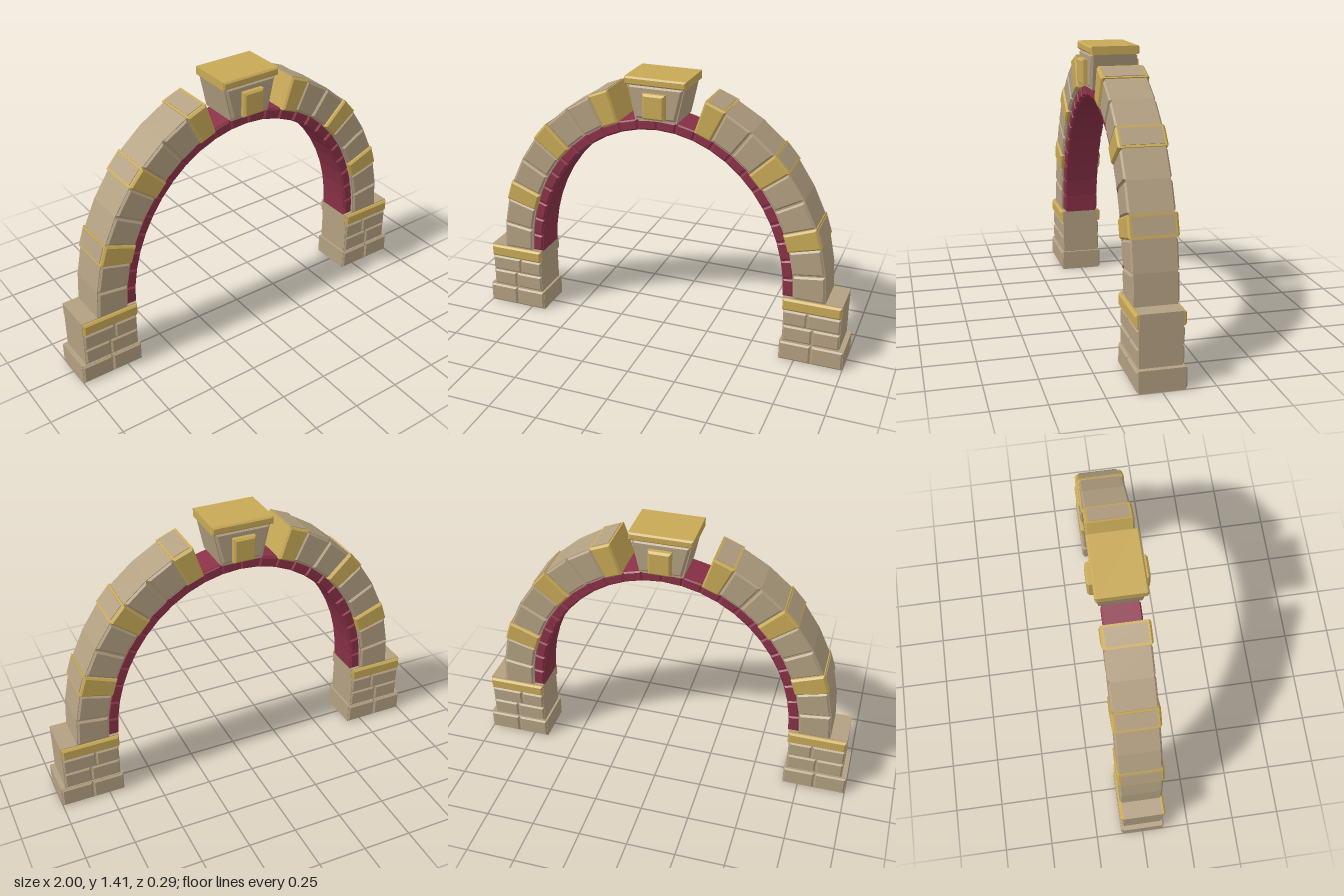
import * as THREE from 'three';

const mat = (name, color) => Object.assign(new THREE.MeshStandardMaterial({ color }), { name });

export function createModel() {
  const stone = mat('sandstone', 0xb3a082);
  const gold = mat('gold trim', 0xc8a957);
  const brick = mat('red brick', 0x8a3147);
  const model = new THREE.Group();
  model.name = 'stoneArch';

  // Block through the full depth, its front and back edges chamfered by c
  function block(parent, name, material, pts, halfDepth, c = 0) {
    const shape = new THREE.Shape(pts.map(p => new THREE.Vector2(p[0], p[1])));
    const geo = new THREE.ExtrudeGeometry(shape, {
      depth: 2 * (halfDepth - c), bevelEnabled: c > 0, bevelThickness: c,
      bevelSize: c, bevelOffset: -c, bevelSegments: 1, steps: 1,
    });
    geo.translate(0, 0, -(halfDepth - c));
    const mesh = new THREE.Mesh(geo, material);
    mesh.name = name;
    parent.add(mesh);
    return mesh;
  }
  const rect = (x0, x1, y0, y1) => [[x0, y0], [x1, y0], [x1, y1], [x0, y1]];
  function group(name) {
    const g = new THREE.Group();
    g.name = name;
    model.add(g);
    return g;
  }

  // Elliptical inner curve, pushed outward along its normal by d
  const A = 0.67, B = 0.785, SPRING = 0.355;
  function arc(t, d) {
    const nx = Math.cos(t) / A, ny = Math.sin(t) / B, l = Math.hypot(nx, ny);
    return [A * Math.cos(t) + nx / l * d, SPRING + B * Math.sin(t) + ny / l * d];
  }
  // Wedge between two angles and two offsets; gap trims its ends by a length
  function wedge(t0, t1, d0, d1, gap, s = 1) {
    const a = arc(t0, d0), b = arc(t1, d0), c = arc(t1, d1), d = arc(t0, d1);
    const trim = (p, q) => {
      const k = gap / Math.hypot(q[0] - p[0], q[1] - p[1]);
      return [s * (p[0] + (q[0] - p[0]) * k), p[1] + (q[1] - p[1]) * k];
    };
    return [trim(a, b), trim(b, a), trim(c, d), trim(d, c)];
  }
  // Angles that split the curve at offset d into lengths in the given ratios
  function split(ratios, d, tEnd) {
    const N = 1500, len = [0];
    for (let i = 1; i <= N; i++) {
      const p = arc(tEnd * (i - 1) / N, d), q = arc(tEnd * i / N, d);
      len.push(len[i - 1] + Math.hypot(q[0] - p[0], q[1] - p[1]));
    }
    const total = ratios.reduce((a, b) => a + b);
    let sum = 0;
    return [0, ...ratios.map(r => {
      sum += r;
      const i = len.findIndex(v => v >= len[N] * sum / total - 1e-6);
      return tEnd * i / N;
    })];
  }

  // Red brick inner ring
  const ring = group('brickRing');
  const bt = split(Array(24).fill(1), 0.03, Math.PI);
  for (let i = 0; i < 24; i++) {
    block(ring, 'brickCore', brick, wedge(bt[i], bt[i + 1], 0, 0.057, 0), 0.085);
    block(ring, 'brickFace', brick, wedge(bt[i], bt[i + 1], 0.002, 0.055, 0.004), 0.095, 0.007);
  }

  // Outer arch stones, every third one gold
  const ratios = [0.142, 0.142, 0.102, 0.142, 0.142, 0.102, 0.142, 0.142, 0.102];
  const st = split(ratios, 0.14, Math.acos(0.272));
  for (const s of [1, -1]) {
    const arch = group(s > 0 ? 'leftArchStones' : 'rightArchStones');
    ratios.forEach((r, i) => {
      const t0 = st[i], t1 = st[i + 1];
      if (i % 3 === 2) {
        block(arch, 'goldStone', gold, wedge(t0, t1, 0.052, 0.225, -0.001, s), 0.117, 0.009);
        block(arch, 'goldStoneTopInlay', stone, wedge(t0, t1, 0.21, 0.228, 0.011, s), 0.098);
      } else {
        block(arch, 'stoneCore', stone, wedge(t0, t1, 0.055, 0.22, 0, s), 0.1);
        block(arch, 'stoneFace', stone, wedge(t0, t1, 0.059, 0.217, 0.004, s), 0.11, 0.009);
      }
    });
  }

  // Piers: core, coursed face blocks and a gold-faced cap
  for (const s of [1, -1]) {
    const pier = group(s > 0 ? 'leftPier' : 'rightPier');
    const box = (name, m, x0, x1, y0, y1, z, c) => block(pier, name, m,
      s > 0 ? rect(x0, x1, y0, y1) : rect(-x1, -x0, y0, y1), z, c);
    box('plinthCore', stone, 0.67, 1, 0, 0.106, 0.106);
    box('pierCore', stone, 0.682, 0.975, 0.1, 0.355, 0.1);
    const courses = [
      [0.672, 0.835, 0.998, 0.003, 0.104, 0.116],
      [0.684, 0.835, 0.973, 0.11, 0.195, 0.108],
      [0.684, 0.805, 0.973, 0.201, 0.282, 0.108],
    ];
    for (const [x0, xm, x1, y0, y1, z] of courses) {
      box('pierBlock', stone, x0, xm - 0.003, y0, y1, z, 0.008);
      box('pierBlock', stone, xm + 0.003, x1, y0, y1, z, 0.008);
    }
    box('capCore', stone, 0.675, 0.976, 0.287, 0.356, 0.1);
    box('capTrim', gold, 0.677, 0.974, 0.289, 0.353, 0.117, 0.009);
  }

  // Keystone with raised plaque and top slab
  const key = group('keystone');
  block(key, 'keystoneCore', stone, [[-0.108, 1.19], [0.108, 1.19], [0.148, 1.37], [-0.148, 1.37]], 0.105);
  block(key, 'keystoneFace', stone, [[-0.104, 1.2], [0.104, 1.2], [0.143, 1.366], [-0.143, 1.366]], 0.117, 0.012);
  block(key, 'keystonePlaque', gold, rect(-0.057, 0.057, 1.208, 1.335), 0.147, 0.01);
  block(key, 'keystoneSlab', gold, rect(-0.158, 0.158, 1.366, 1.407), 0.123, 0.008);
  return model;
}
